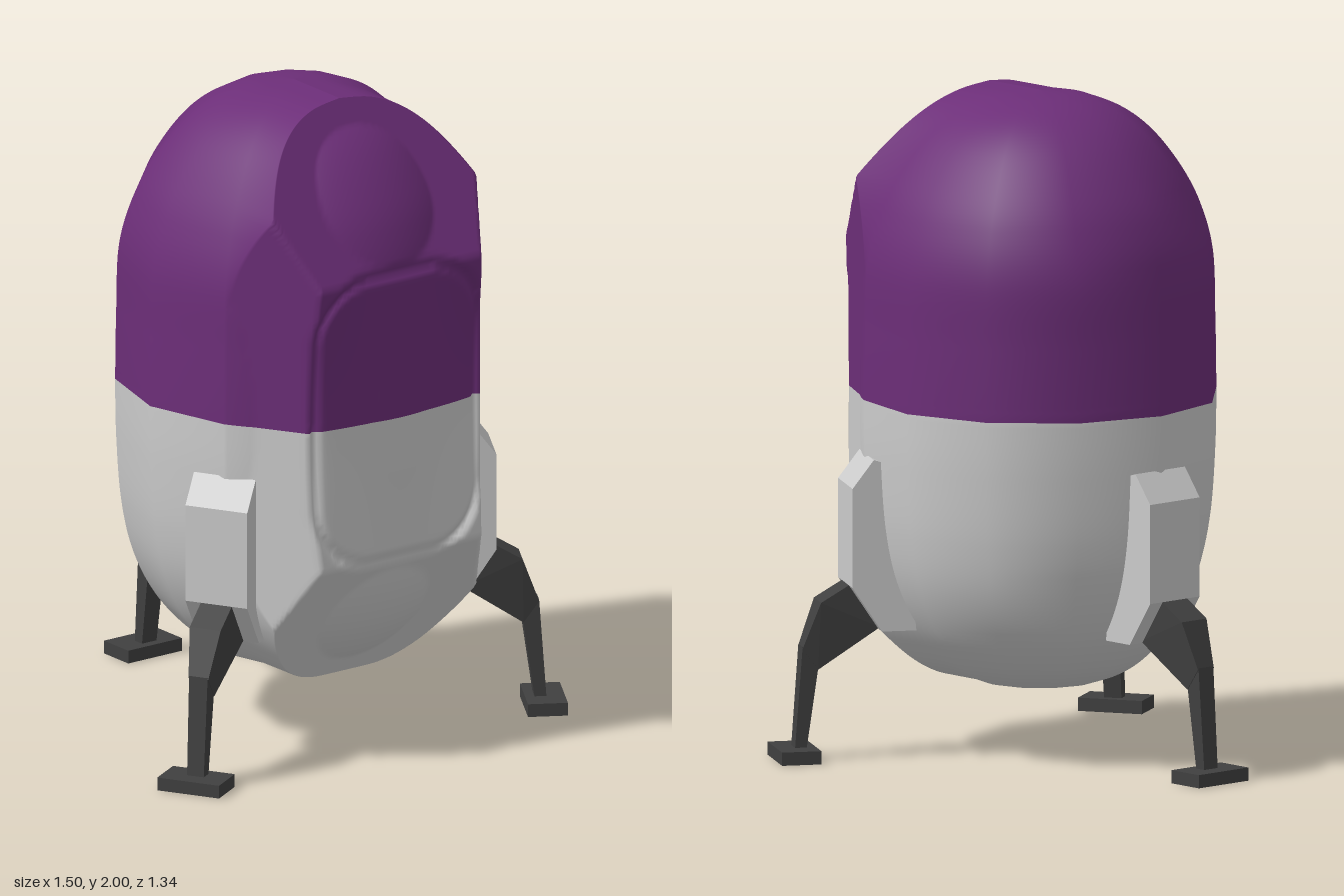
import * as THREE from 'three';
import { ConvexGeometry } from 'three/addons/geometries/ConvexGeometry.js';

const AXIS_Z = 0.135; // hull axis, slightly in front of the centre
const SEAM_Y = 1.08;  // colour split
const HATCH = { y: 1.085, w: 0.3, h: 0.445, corner: 0.19 };

const material = (color, flat) => new THREE.MeshStandardMaterial({ color, flatShading: flat });

// Signed distance to the rounded outline of the hatch
function hatchDistance(x, y) {
  const qx = Math.abs(x) - HATCH.w + HATCH.corner;
  const qy = Math.abs(y - HATCH.y) - HATCH.h + HATCH.corner;
  return Math.hypot(Math.max(qx, 0), Math.max(qy, 0)) + Math.min(Math.max(qx, qy), 0) - HATCH.corner;
}

// Push the front of the hull out into a hatch frame and cut the groove round the hatch
function frontDepth(x, y, z) {
  const ax = Math.abs(x), dy = Math.abs(y - HATCH.y);
  const middle = Math.max(0, 1 - (dy / 0.44) ** 2);
  const face = 0.667 - 0.32 * Math.min(ax, 0.33) ** 2 * middle;
  const side = 0.665 - (ax - 0.3) * 1.65;
  const ends = 0.667 - (dy - 0.44) * 0.65;
  const d = hatchDistance(x, y);
  const groove = 0.016 * Math.exp(-((d / 0.013) ** 2)) + (d < 0 ? 0.004 : 0);
  return Math.max(z, Math.min(face, side, ends)) - groove;
}

function hullGeometries() {
  const profile = [
    [0, 0.21], [0.14, 0.212], [0.24, 0.24], [0.33, 0.3], [0.42, 0.405], [0.485, 0.54],
    [0.52, 0.7], [0.535, 0.9], [0.538, 1.08], [0.535, 1.3], [0.527, 1.5], [0.485, 1.65],
    [0.42, 1.77], [0.335, 1.875], [0.24, 1.945], [0.13, 1.985], [0, 2],
  ].map(([r, y]) => new THREE.Vector2(r, y));
  const rows = new THREE.SplineCurve(profile).getSpacedPoints(160);
  const seam = rows.findIndex((p) => p.y >= SEAM_Y);
  rows[seam].y = SEAM_Y;

  // Fine columns across the front, twelve-sided elsewhere
  const angles = [];
  for (let a = -60; a < 60; a += 1.25) angles.push(a);
  for (let a = 60; a < 300; a += 30) angles.push(a);
  const n = angles.length;

  const positions = [], lower = [], upper = [];
  rows.forEach((p, i) => {
    const r = Math.max(p.x, 0);
    angles.forEach((deg, j) => {
      const a = THREE.MathUtils.degToRad(deg);
      const x = r * Math.sin(a), z = AXIS_Z + r * Math.cos(a);
      positions.push(x, p.y, Math.abs(deg) < 60 ? frontDepth(x, p.y, z) : z);
      if (i === rows.length - 1) return;
      const k = (j + 1) % n, b = i * n, t = b + n;
      (i < seam ? lower : upper).push(b + j, b + k, t + k, b + j, t + k, t + j);
    });
  });

  const whole = new THREE.BufferGeometry();
  whole.setAttribute('position', new THREE.Float32BufferAttribute(positions, 3));
  whole.setIndex([...lower, ...upper]);
  whole.computeVertexNormals();
  return [lower, upper].map((index) => {
    const g = whole.clone();
    g.setIndex(index);
    return g;
  });
}

// Convex block from points [outward, height, half width]
function block(name, points, mat) {
  const corners = points.flatMap(([r, y, w]) => [new THREE.Vector3(r, y, w), new THREE.Vector3(r, y, -w)]);
  const mesh = new THREE.Mesh(new ConvexGeometry(corners), mat);
  mesh.name = name;
  return mesh;
}

function createLeg(name, degrees, grey, dark) {
  const leg = new THREE.Group();
  leg.name = name;
  leg.add(
    block('legBracket', [
      [0.595, 0.53, 0.1], [0.595, 0.83, 0.1], [0.53, 0.915, 0.1],
      [0.45, 0.89, 0.1], [0.4, 0.395, 0.1], [0.505, 0.395, 0.1],
    ], grey),
    block('upperLeg', [
      [0.5, 0.4, 0.05], [0.595, 0.53, 0.05], [0.68, 0.48, 0.05],
      [0.732, 0.34, 0.032], [0.685, 0.275, 0.032],
    ], dark),
    block('lowerLeg', [
      [0.685, 0.275, 0.03], [0.732, 0.345, 0.03], [0.72, 0.03, 0.027], [0.755, 0.03, 0.027],
    ], dark),
  );
  const foot = new THREE.Mesh(new THREE.BoxGeometry(0.12, 0.04, 0.2), dark);
  foot.name = 'foot';
  foot.position.set(0.75, 0.02, 0);
  leg.add(foot);
  leg.position.z = AXIS_Z;
  leg.rotation.y = THREE.MathUtils.degToRad(degrees);
  return leg;
}

export function createModel() {
  const model = new THREE.Group();
  model.name = 'landingPod';

  // Two-tone hull with the hatch shaped into its front
  const [lower, upper] = hullGeometries();
  const lowerHull = new THREE.Mesh(lower, material(0xcccccc, false));
  lowerHull.name = 'lowerHull';
  const upperHull = new THREE.Mesh(upper, material(0x6c2e78, false));
  upperHull.name = 'upperHull';
  model.add(lowerHull, upperHull);

  // Three landing legs spaced evenly round the hull
  const grey = material(0xcccccc, true), dark = material(0x404040, true);
  model.add(
    createLeg('backLeg', 90, grey, dark),
    createLeg('frontLeftLeg', -30, grey, dark),
    createLeg('frontRightLeg', -150, grey, dark),
  );
  return model;
}
